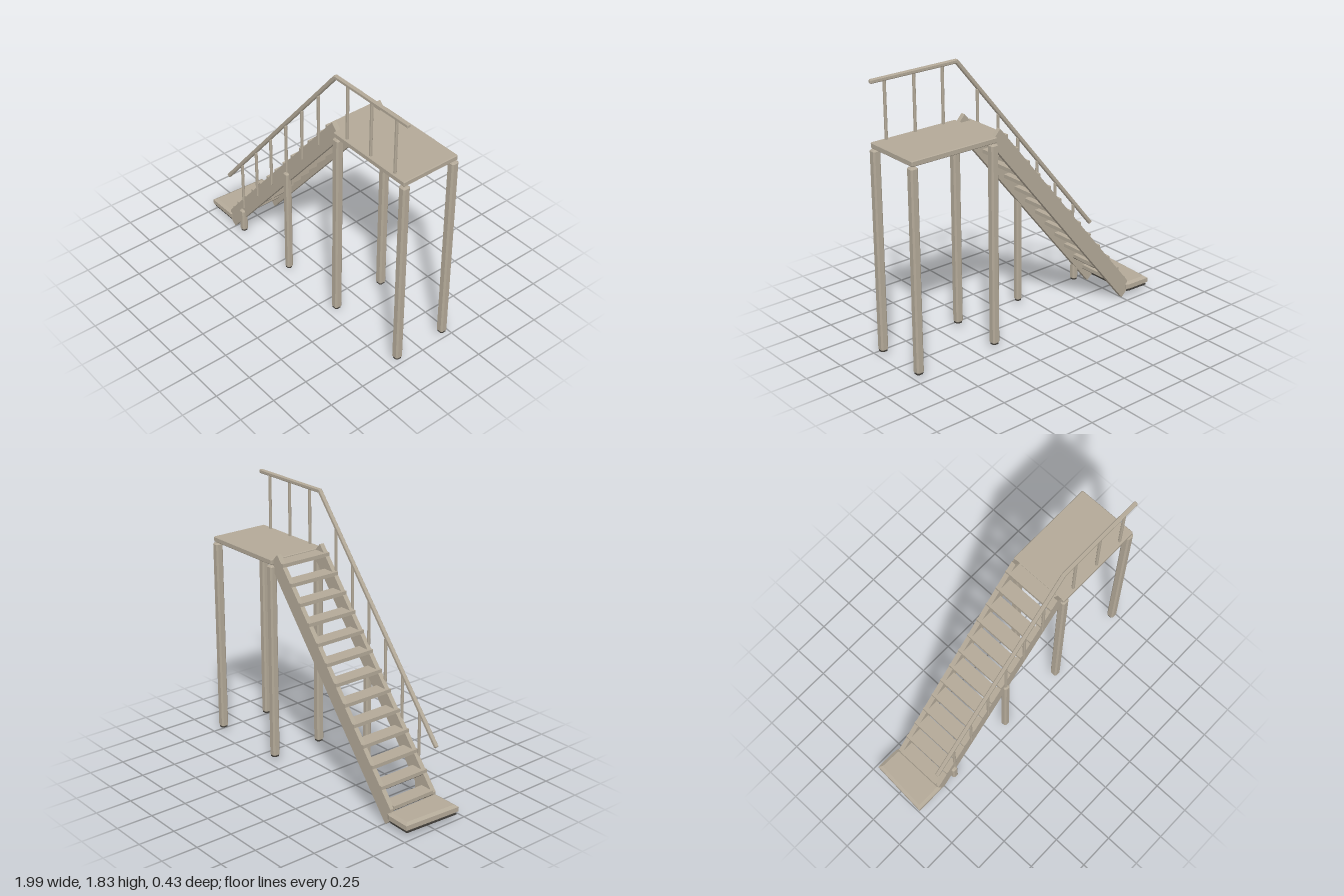
import * as THREE from 'three';

export function createModel() {
  const model = new THREE.Group();
  const wood = new THREE.MeshStandardMaterial({ color: 0xb3a998 });
  wood.name = 'weathered wood';
  const dark = new THREE.MeshStandardMaterial({ color: 0x403d38 });
  dark.name = 'dark underside';

  const add = (name, geometry, material = wood) => {
    const mesh = new THREE.Mesh(geometry, material);
    mesh.name = name;
    model.add(mesh);
    return mesh;
  };

  // Upright prism from an x/z outline, from y = 0 to h, with chamfered rims
  const prism = (points, h, rim, inset = rim) => {
    const shape = new THREE.Shape(points.map(([x, z]) => new THREE.Vector2(x, -z)));
    const g = new THREE.ExtrudeGeometry(shape, {
      depth: h - 2 * rim, bevelEnabled: rim > 0, bevelThickness: rim,
      bevelSize: inset, bevelOffset: -inset, bevelSegments: 1,
    });
    return g.translate(0, 0, rim).rotateX(-Math.PI / 2);
  };
  const octagon = (w, d, c) => {
    const a = w / 2, b = d / 2;
    return [[a, b - c], [a - c, b], [c - a, b], [-a, b - c],
      [-a, c - b], [c - a, -b], [a - c, -b], [a, c - b]];
  };

  // Chamfered beam between two points of a plane with constant z
  const beam = (name, x1, y1, x2, y2, z, w, c) => {
    const mesh = add(name, prism(octagon(w, w, c), Math.hypot(x2 - x1, y2 - y1), c));
    mesh.position.set(x1, y1, z);
    mesh.rotation.z = -Math.atan2(x2 - x1, y2 - y1);
    return mesh;
  };

  const post = (name, x, z, top, w) => {
    beam(name, x, 0.042, x, top, z, w, 0.01);
    add(name + 'Foot', prism(octagon(w - 0.006, w - 0.006, 0.01), 0.008, 0), dark)
      .position.set(x, 0.038, z);
  };

  // Platform and its legs
  add('platform', prism(octagon(0.635, 0.42, 0.005), 0.037, 0.005)).position.set(0.667, 1.403, 0);
  for (const x of [0.37, 0.967]) {
    for (const z of [-0.19, 0.19]) post('platformPost', x, z, 1.398, 0.053);
  }

  // Short posts under the railing side
  post('middlePost', -0.14, 0.187, 0.84, 0.045);
  post('lowerPost', -0.65, 0.187, 0.215, 0.045);

  // Toothed side boards of the stair
  const steps = 13, run = 0.0882, rise = 0.1078, noseX = -0.805, noseY = 0.137;
  const slope = rise / run;
  const edgeY = (x) => noseY - 0.023 + (x - noseX) * slope;
  const side = [[-0.755, 0.003], [0.37, 1.38], [0.375, 1.412], [0.312, edgeY(0.312)]];
  for (let k = steps - 1; k > 0; k--) {
    const x = noseX + k * run, y = noseY + k * rise;
    side.push([x + 0.019, y], [x, y], [x, edgeY(x)]);
  }
  side.push([-0.8, edgeY(-0.8)], [-0.8, 0.043]);
  const sideShape = new THREE.Shape(side.map(([x, y]) => new THREE.Vector2(x, y)));
  for (const z of [-0.19, 0.158]) {
    add('stringer', new THREE.ExtrudeGeometry(sideShape, { depth: 0.032, bevelEnabled: false }))
      .position.z = z;
  }

  // Treads, the lowest two dark beneath
  for (let k = 0; k < steps; k++) {
    const x = noseX + k * run + 0.05, y = noseY + k * rise;
    add('tread', new THREE.BoxGeometry(0.1, 0.025, 0.33)).position.set(x, y - 0.0125, 0);
    if (k < 2) {
      add('treadUnderside', new THREE.BoxGeometry(0.098, 0.004, 0.325), dark)
        .position.set(x, y - 0.026, 0);
    }
  }

  // Slightly skewed slab at the foot of the stair
  const slab = [[-0.975, -0.215], [-0.81, -0.21], [-0.785, -0.2], [-0.785, 0.2], [-1, 0.2]];
  add('footSlab', prism(slab, 0.06, 0.014, 0.022)).position.y = 0.045;
  const base = slab.map(([x, z]) => [-0.89 + (x + 0.89) * 0.92, z * 0.95]);
  add('footSlabUnderside', prism(base, 0.009, 0), dark).position.y = 0.037;

  // Handrail along the front side
  const railZ = 0.19;
  beam('slopedRail', -0.797, 0.425, 0.35, 1.825, railZ, 0.026, 0.005);
  beam('platformRail', 0.34, 1.822, 0.985, 1.822, railZ, 0.026, 0.005);

  // Balusters
  for (let i = 0; i < 6; i++) {
    const x = -0.636 + i * 0.1643;
    beam('stairBaluster', x, 0.24 + i * 0.2, x, 0.61 + i * 0.2, railZ + 0.001, 0.018, 0.004);
  }
  for (const x of [0.455, 0.668, 0.882]) {
    beam('platformBaluster', x, 1.43, x, 1.815, railZ, 0.018, 0.004);
  }
  return model;
}
